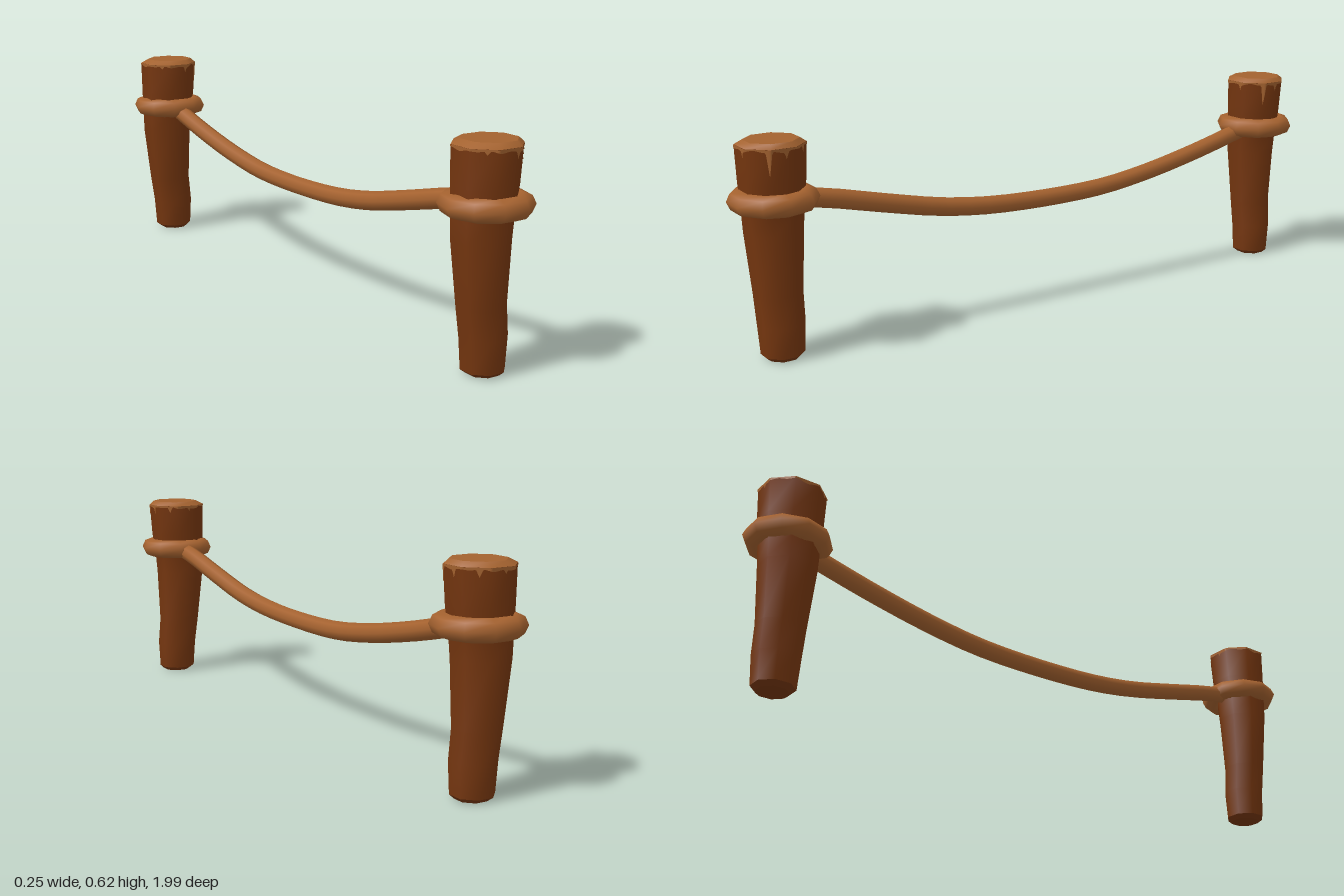
import * as THREE from 'three';
import { mergeVertices } from 'three/addons/utils/BufferGeometryUtils.js';

const SIDES = 8;
const TURN = Math.PI / SIDES;

// Skins a stack of [y, centreX, halfWidth] sections, listed top to bottom
function loft(sections) {
  const geo = new THREE.CylinderGeometry(1, 1, 1, SIDES, sections.length - 1, true, TURN);
  const pos = geo.attributes.position;
  for (let i = 0; i < pos.count; i++) {
    const [y, cx, half] = sections[Math.floor(i / (SIDES + 1))];
    const r = half / Math.cos(TURN);
    pos.setXYZ(i, cx + pos.getX(i) * r, y, pos.getZ(i) * r);
  }
  geo.deleteAttribute('uv');
  geo.deleteAttribute('normal');
  const merged = mergeVertices(geo, 1e-5);
  merged.computeVertexNormals();
  return merged;
}

// Slightly crooked trunk, thinner at the foot
const TRUNK = [
  [0.604, -0.002, 0.088], [0.5, -0.005, 0.084], [0.42, -0.01, 0.078], [0.36, -0.012, 0.075],
  [0.185, -0.005, 0.063], [0.1, 0.005, 0.061], [0.012, 0.006, 0.056],
];
const TOP = [0.617, 0.004, 0.07];
const FOOT = [0, 0.008, 0.042];

// Point on the trunk's faceted surface, pushed out a little
function trunkPoint(angle, y) {
  let k = 0;
  while (k < TRUNK.length - 2 && y < TRUNK[k + 1][0]) k++;
  const [a, b] = [TRUNK[k], TRUNK[k + 1]];
  const t = (y - a[0]) / (b[0] - a[0]);
  const cx = THREE.MathUtils.lerp(a[1], b[1], t);
  const half = THREE.MathUtils.lerp(a[2], b[2], t) + 0.0012;
  const facet = 2 * TURN;
  const r = half / Math.cos(angle - Math.round(angle / facet) * facet);
  return [cx + Math.sin(angle) * r, y, Math.cos(angle) * r];
}

// Pale wood running down from the cut top, with a ragged lower edge
function raggedEdge() {
  const runs = [[15, 0.028, 5], [65, 0.075, 6], [95, 0.03, 6], [140, 0.025, 7], [185, 0.018, 6], [320, 0.015, 8]];
  const steps = 144, points = [], index = [];
  for (let i = 0; i <= steps; i++) {
    const deg = (i * 360) / steps;
    let depth = 0.007 + 0.004 * Math.sin(deg * 0.0175 * 7) * Math.sin(deg * 0.0175 * 3);
    for (const [at, length, width] of runs) {
      depth = Math.max(depth, length * (1 - Math.abs(deg - at) / width));
    }
    const angle = THREE.MathUtils.degToRad(deg);
    points.push(...trunkPoint(angle, 0.604), ...trunkPoint(angle, 0.604 - depth));
    if (i < steps) {
      const a = i * 2;
      index.push(a, a + 1, a + 2, a + 1, a + 3, a + 2);
    }
  }
  const geo = new THREE.BufferGeometry();
  geo.setAttribute('position', new THREE.Float32BufferAttribute(points, 3));
  geo.setIndex(index);
  geo.computeVertexNormals();
  return geo;
}

export function createModel() {
  const bark = new THREE.MeshStandardMaterial({ name: 'bark brown', color: 0x75360f });
  const pale = new THREE.MeshStandardMaterial({ name: 'pale wood', color: 0xa3622f });
  const ropeColour = new THREE.MeshStandardMaterial({ name: 'rope tan', color: 0xa5622f });

  const model = new THREE.Group();
  model.name = 'ropeFence';
  const add = (parent, name, geo, mat) => {
    const mesh = new THREE.Mesh(geo, mat);
    mesh.name = name;
    parent.add(mesh);
    return mesh;
  };

  for (const [side, z] of [['front', 0.875], ['back', -0.875]]) {
    const post = new THREE.Group();
    post.name = side + 'Post';
    post.position.z = z;
    model.add(post);

    add(post, 'trunk', loft(TRUNK), bark);
    add(post, 'footBevel', loft([TRUNK[TRUNK.length - 1], FOOT]), bark);
    add(post, 'footCap', loft([FOOT, [0, FOOT[1], 0]]), bark);
    add(post, 'topBevel', loft([TOP, TRUNK[0]]), pale);
    add(post, 'topCap', loft([[TOP[0], TOP[1], 0], TOP]), pale);
    add(post, 'raggedEdge', raggedEdge(), pale);

    // Rope loop around the post
    const loop = add(post, 'ropeLoop', new THREE.TorusGeometry(0.09, 0.035, 8, 10), ropeColour);
    loop.rotation.x = Math.PI / 2;
    loop.scale.z = 0.9;
    loop.position.y = 0.45;
  }

  // Sagging rope between the posts
  const path = new THREE.CatmullRomCurve3([
    [0.82, 0.447], [0.72, 0.43], [0.55, 0.39], [0.35, 0.347], [0.15, 0.325],
    [-0.2, 0.323], [-0.4, 0.347], [-0.6, 0.386], [-0.75, 0.422], [-0.82, 0.44],
  ].map(([z, y]) => new THREE.Vector3(0.005, y, z)));
  add(model, 'hangingRope', new THREE.TubeGeometry(path, 24, 0.028, 8, false), ropeColour);

  return model;
}
